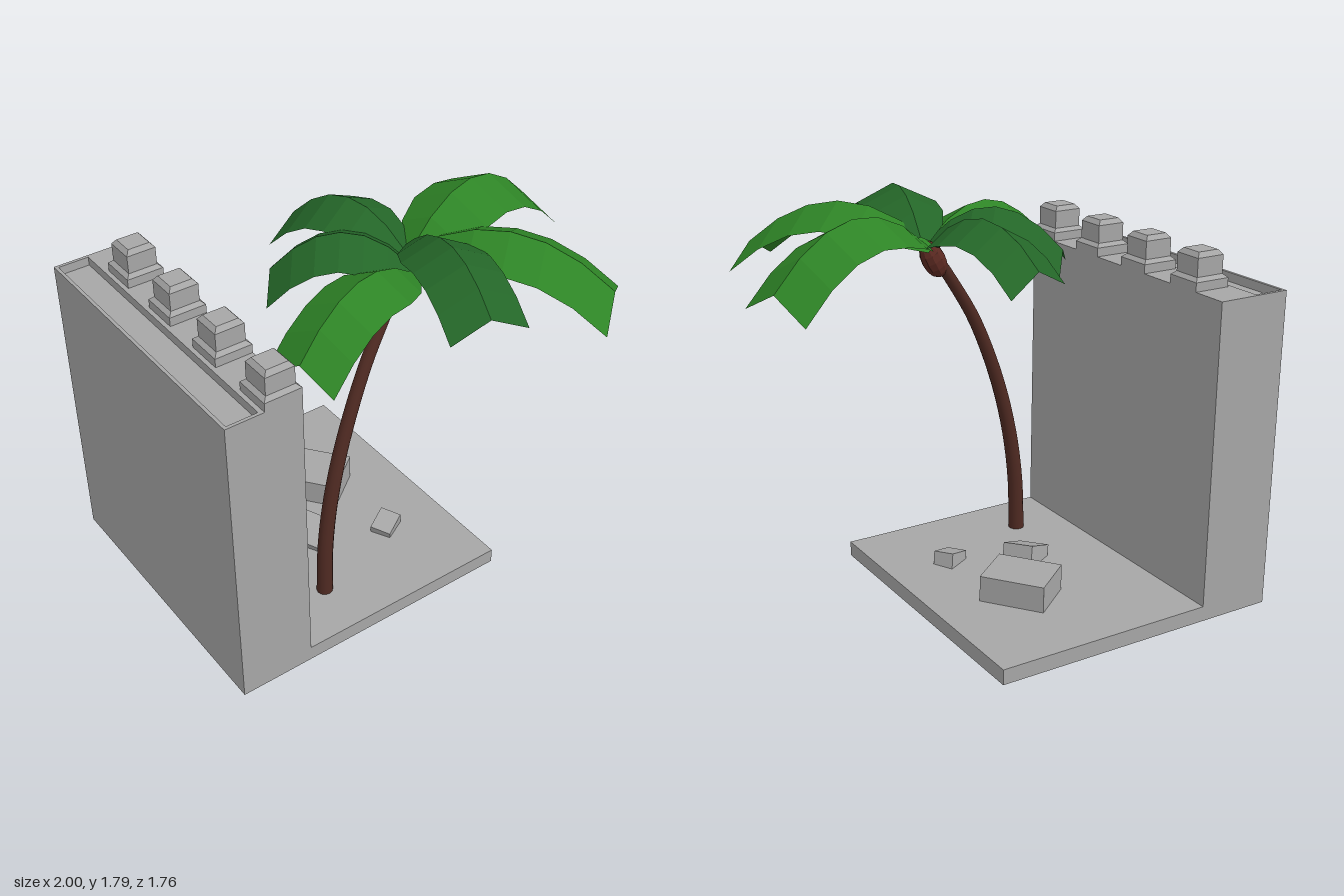
import * as THREE from 'three';

const flat = (name, color, extra = {}) =>
  Object.assign(new THREE.MeshStandardMaterial({ color, flatShading: true, ...extra }), { name });

export function createModel() {
  const stone = flat('stone grey', 0xa6a6a6);
  const bark = Object.assign(new THREE.MeshStandardMaterial({ color: 0x4f2a22 }), { name: 'bark brown' });
  const husk = flat('husk brown', 0x5c2a22);
  const lightLeaf = flat('light leaf green', 0x2e8426, { side: THREE.DoubleSide });
  const darkLeaf = flat('dark leaf green', 0x246628, { side: THREE.DoubleSide });

  const model = new THREE.Group();
  model.name = 'palmByWall';
  const add = (name, geometry, material, x = 0, y = 0, z = 0) => {
    const mesh = new THREE.Mesh(geometry, material);
    mesh.name = name;
    mesh.position.set(x, y, z);
    model.add(mesh);
    return mesh;
  };

  // Ground slab and wall
  add('groundSlab', new THREE.BoxGeometry(1.37, 0.07, 1.37), stone, -0.315, 0.055, -0.195);
  add('wall', new THREE.BoxGeometry(0.345, 1.335, 1.37), stone, -0.8275, 0.7575, -0.195);

  // Wall top with a shallow sunken walkway (drawn in x and -z, then laid flat)
  const rect = (shape, x0, x1, y0, y1) => {
    shape.moveTo(x0, y0);
    shape.lineTo(x1, y0);
    shape.lineTo(x1, y1);
    shape.lineTo(x0, y1);
    shape.closePath();
    return shape;
  };
  const rim = rect(new THREE.Shape(), -1, -0.655, -0.49, 0.88);
  rim.holes.push(rect(new THREE.Path(), -0.985, -0.845, -0.475, 0.865));
  const rimGeometry = new THREE.ExtrudeGeometry(rim, { depth: 0.04, bevelEnabled: false });
  rimGeometry.rotateX(-Math.PI / 2);
  add('wallTopRim', rimGeometry, stone, 0, 1.425, 0);

  // Battlements: square stepped blocks with bevelled edges
  const profile = [[0.085, 0], [0.085, 0.04], [0.067, 0.056], [0.067, 0.137], [0.05, 0.158], [0, 0.158]]
    .map(([r, y]) => new THREE.Vector2(r * Math.SQRT2, y));
  const merlon = new THREE.LatheGeometry(profile, 4, Math.PI / 4);
  for (let i = 0; i < 4; i++) add('battlement', merlon, stone, -0.74, 1.465, 0.405 - i * 0.345);

  // Fallen stones
  add('largeStone', new THREE.BoxGeometry(0.24, 0.21, 0.295), stone, -0.035, 0.105, -0.38).rotation.y = 0.65;
  add('mediumStone', new THREE.BoxGeometry(0.16, 0.12, 0.15), stone, -0.25, 0.1, -0.085).rotation.set(0.12, 0.5, 0.28);
  add('smallStone', new THREE.BoxGeometry(0.12, 0.07, 0.1), stone, 0.065, 0.105, 0.07).rotation.set(0.1, 0.5, 0.2);

  // Trunk: a tube along a bent curve, thinned towards the top
  const path = new THREE.CatmullRomCurve3([
    [-0.405, 0.07, 0.235], [-0.39, 0.35, 0.228], [-0.345, 0.62, 0.218], [-0.263, 0.9, 0.203],
    [-0.13, 1.2, 0.175], [0.0, 1.4, 0.145], [0.12, 1.56, 0.11],
  ].map((p) => new THREE.Vector3(...p)));
  const rings = 24, sides = 12;
  const trunk = new THREE.TubeGeometry(path, rings, 0.037, sides);
  const pos = trunk.attributes.position;
  const v = new THREE.Vector3();
  for (let i = 0; i < pos.count; i++) {
    const t = Math.floor(i / (sides + 1)) / rings;
    const c = path.getPointAt(t);
    v.fromBufferAttribute(pos, i).sub(c).multiplyScalar(1 - 0.3 * t).add(c);
    pos.setXYZ(i, v.x, v.y, v.z);
  }
  add('trunk', trunk, bark);

  // Crown bud where the fronds meet
  const bud = add('crownBud', new THREE.SphereGeometry(1, 10, 8), husk, 0.105, 1.52, 0.13);
  bud.scale.set(0.055, 0.09, 0.05);
  bud.rotation.z = -0.5;

  // Frond: a ridged strip arching from its root over a peak height to its tip
  const frond = (root, tip, peak, half, drop) => {
    const steps = 6, vertices = [], index = [];
    const dx = tip[0] - root[0], dz = tip[2] - root[2], length = Math.hypot(dx, dz);
    const rise = peak - root[1], fall = tip[1] - root[1];
    const b = 2 * (rise + Math.sqrt(rise * (rise - fall)));
    for (let i = 0; i <= steps; i++) {
      const t = i / steps;
      const w = Math.min(1, 0.25 + t * 3.2);
      const y = root[1] + b * t + (fall - b) * t * t;
      for (const s of [-1, 0, 1]) {
        vertices.push(
          root[0] + dx * t - (s * w * half * dz) / length,
          y - Math.abs(s) * w * drop,
          root[2] + dz * t + (s * w * half * dx) / length,
        );
      }
      if (i === steps) break;
      for (const k of [0, 1]) {
        const a = i * 3 + k;
        index.push(a, a + 1, a + 4, a, a + 4, a + 3);
      }
    }
    const geometry = new THREE.BufferGeometry();
    geometry.setAttribute('position', new THREE.Float32BufferAttribute(vertices, 3));
    geometry.setIndex(index);
    geometry.computeVertexNormals();
    return geometry;
  };
  const fronds = [
    ['leftFrond', [0.16, 1.6, 0.09], [0.95, 1.535, -0.1], 1.775, 0.195, 0.095, lightLeaf],
    ['frontLeftFrond', [0.14, 1.6, 0.07], [0.695, 1.545, 0.755], 1.76, 0.193, 0.095, lightLeaf],
    ['frontFrond', [0.2, 1.64, 0.07], [0.035, 1.67, 0.75], 1.795, 0.168, 0.08, darkLeaf],
    ['rightFrond', [0.09, 1.58, 0.2], [-0.6, 1.52, 0.39], 1.715, 0.168, 0.085, lightLeaf],
    ['backRightFrond', [0.1, 1.6, 0.18], [-0.355, 1.57, -0.185], 1.75, 0.168, 0.085, darkLeaf],
    ['backFrond', [0.145, 1.6, 0.08], [-0.03, 1.585, -0.49], 1.757, 0.17, 0.085, darkLeaf],
  ];
  for (const [name, root, tip, peak, half, drop, material] of fronds)
    add(name, frond(root, tip, peak, half, drop), material);

  return model;
}
